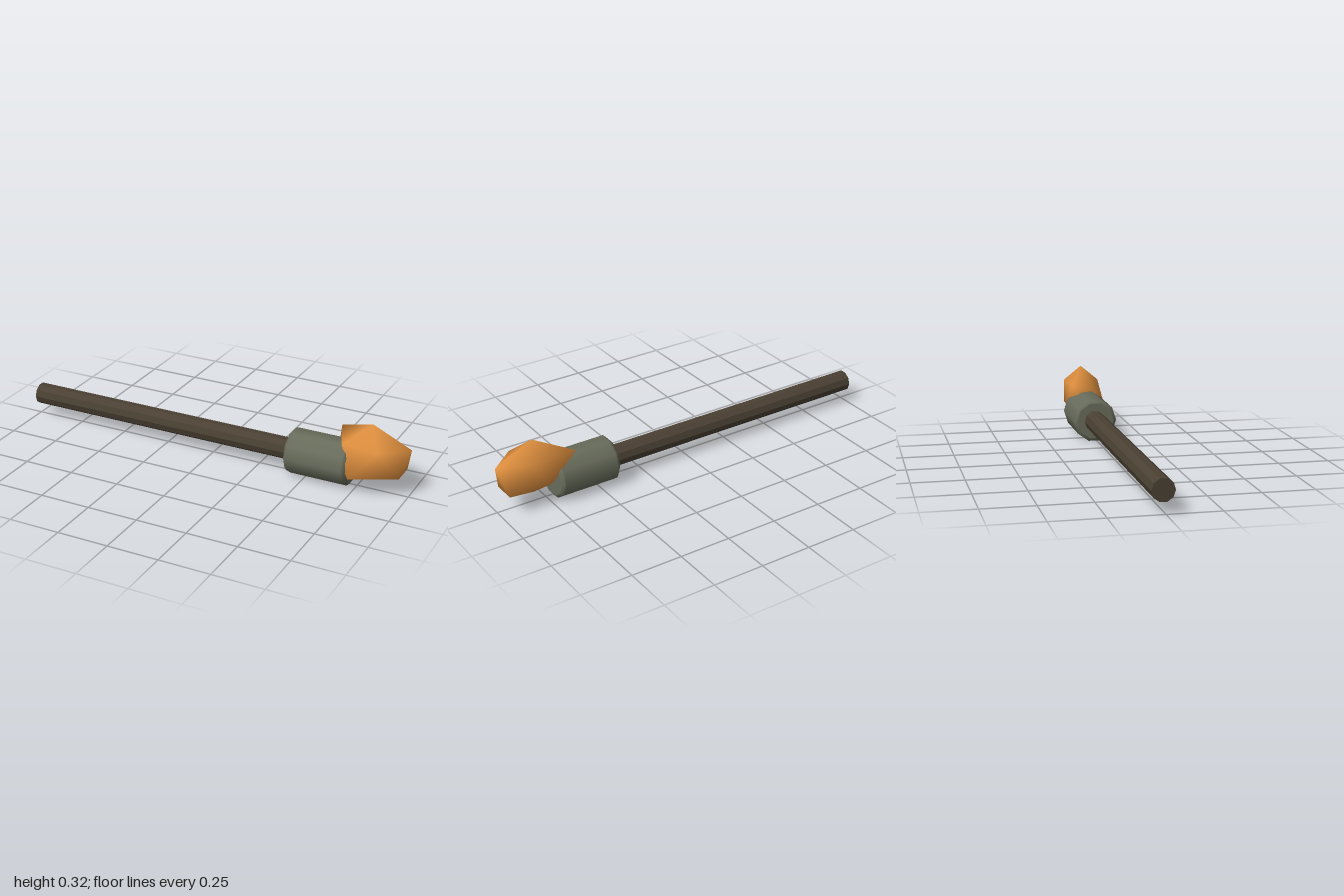
import * as THREE from 'three';

const AXIS_Y = 0.105;
const SIDES = 10;

// Faceted flame: two staggered rings of five points between two tips
function flameGeometry() {
  const top = [0.81, 0.325, -0.007];
  const bottom = [0.81, 0.05, -0.005];
  const upper = [[1, 0.235, -0.01], [0.875, 0.237, 0.097], [0.68, 0.215, 0.035], [0.63, 0.25, -0.085], [0.86, 0.245, -0.088]];
  const lower = [[0.965, 0.105, 0.045], [0.745, 0.085, 0.118], [0.645, 0.12, 0], [0.76, 0.115, -0.086], [0.965, 0.105, -0.07]];
  const index = [];
  for (let i = 0; i < 5; i++) {
    const j = (i + 1) % 5;
    const u = 1 + i, un = 1 + j, l = 6 + i, ln = 6 + j;
    index.push(0, un, u, u, un, l, l, un, ln, 11, l, ln);
  }
  const geo = new THREE.BufferGeometry();
  geo.setAttribute('position', new THREE.Float32BufferAttribute([top, ...upper, ...lower, bottom].flat(), 3));
  geo.setIndex(index);
  geo.computeVertexNormals();
  return geo;
}

export function createModel() {
  const wood = new THREE.MeshStandardMaterial({ color: 0x4a4033 });
  wood.name = 'darkWood';
  wood.flatShading = true;
  const metal = new THREE.MeshStandardMaterial({ color: 0x686c5b });
  metal.name = 'greyGreenMetal';
  const orange = new THREE.MeshStandardMaterial({ color: 0xe0903f });
  orange.name = 'flameOrange';

  const model = new THREE.Group();
  model.name = 'torch';
  const add = (name, geo, mat) => {
    const mesh = new THREE.Mesh(geo, mat);
    mesh.name = name;
    model.add(mesh);
    return mesh;
  };

  // Long ten-sided handle lying along x
  const handle = new THREE.CylinderGeometry(0.053, 0.053, 1.44, SIDES);
  handle.rotateZ(-Math.PI / 2).translate(-0.28, AXIS_Y, -0.011);
  add('handle', handle, wood);

  // Bevelled head; extra points beside the bevels keep its faces flat
  const profile = [
    [0, 0.41], [0.092, 0.41], [0.098, 0.41], [0.11, 0.422], [0.11, 0.428],
    [0.11, 0.702], [0.11, 0.708], [0.098, 0.72], [0.092, 0.72], [0, 0.72],
  ].map(([r, x]) => new THREE.Vector2(r, x));
  const head = new THREE.LatheGeometry(profile, SIDES);
  head.rotateZ(-Math.PI / 2).translate(0, AXIS_Y, -0.008);
  add('head', head, metal);

  add('flame', flameGeometry(), orange);
  return model;
}
